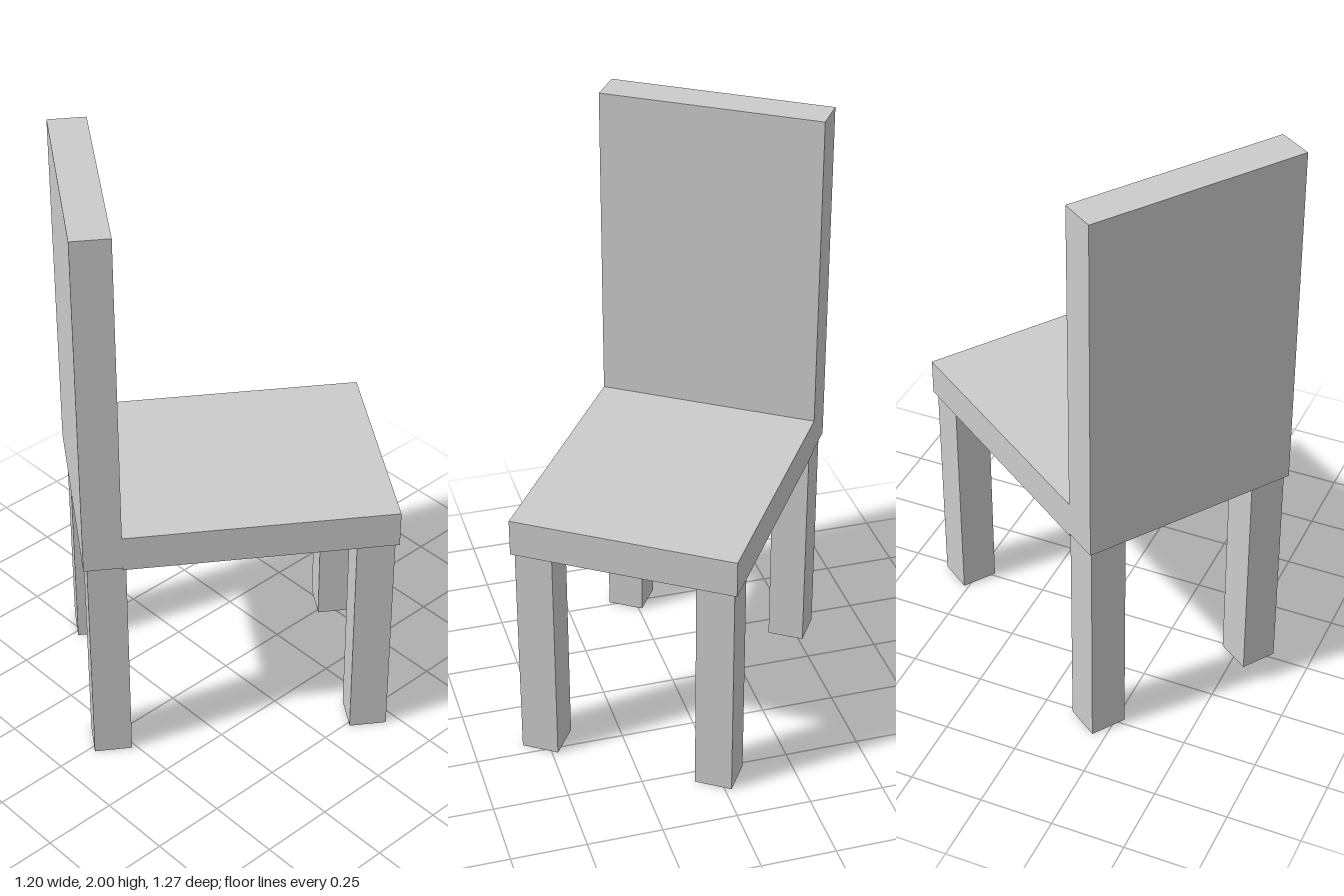
import * as THREE from 'three';

export function createModel() {
  const model = new THREE.Group();
  const chair = new THREE.Group();
  chair.name = 'chair';
  chair.rotation.y = THREE.MathUtils.degToRad(-34.3); // stands turned on its base
  model.add(chair);

  const material = new THREE.MeshStandardMaterial({ color: 0xcccccc, flatShading: true });

  // Box given by its size, bottom height and position in the chair's own axes
  function addBox(name, width, height, depth, x, bottom, z) {
    const mesh = new THREE.Mesh(new THREE.BoxGeometry(width, height, depth), material);
    mesh.name = name;
    mesh.position.set(x, bottom + height / 2, z);
    chair.add(mesh);
  }

  const width = 0.756, depth = 1.024, thick = 0.126;
  const seatBottom = 0.78, backBottom = 0.788;

  // Backrest at local +z, with the seat butting against its inner face
  addBox('backrest', width, 2 - backBottom, thick, 0, backBottom, (depth - thick) / 2);
  addBox('seat', width, thick, depth - thick, 0, seatBottom, -thick / 2);

  // Four square legs, slightly inset from the corners
  for (const sx of [-1, 1]) {
    for (const sz of [-1, 1]) {
      const name = (sz > 0 ? 'back' : 'front') + 'Leg' + (sx > 0 ? 'A' : 'B');
      addBox(name, thick, backBottom, thick, sx * 0.304, 0, sz * 0.437);
    }
  }
  return model;
}
